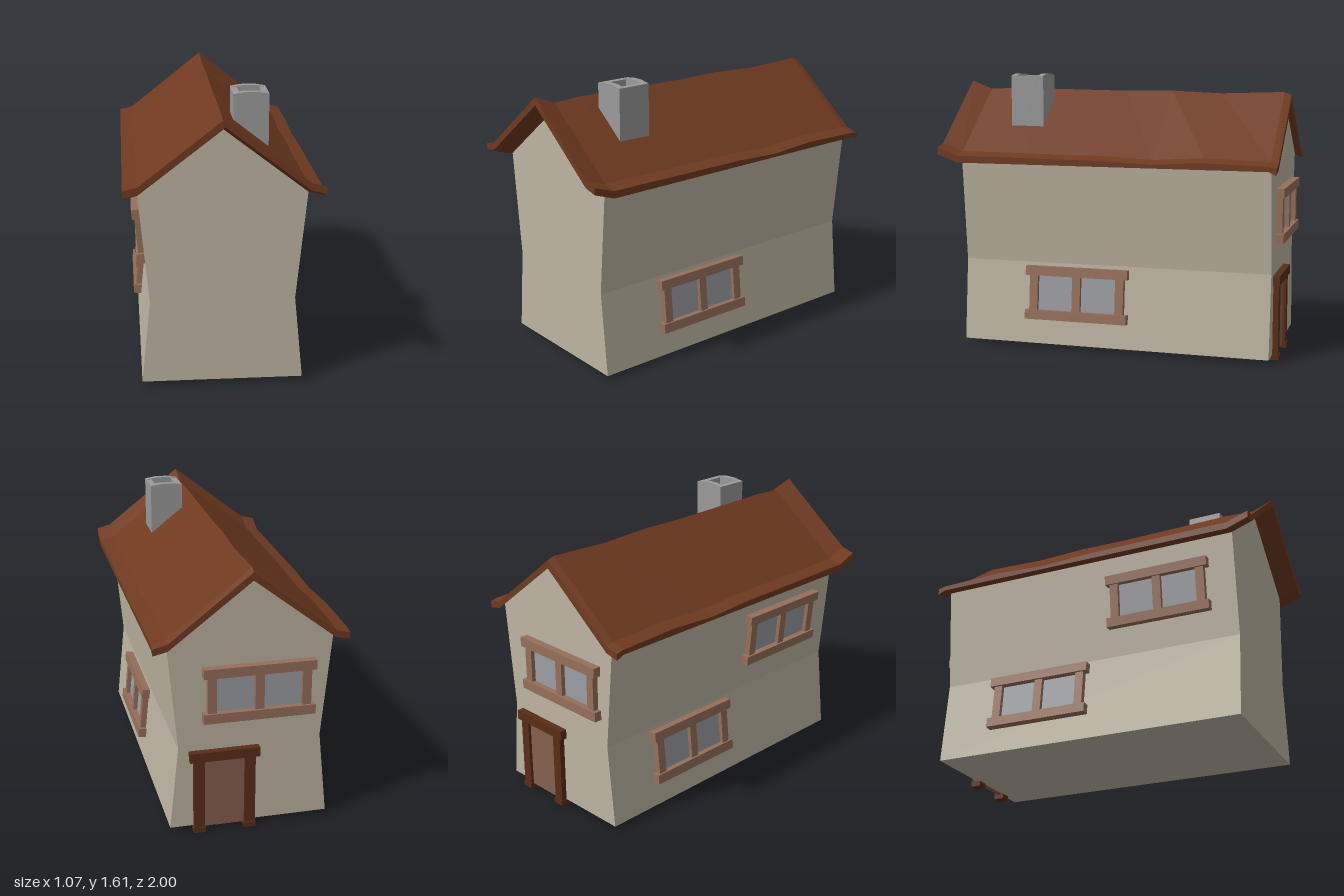
import * as THREE from 'three';

const mat = (color, opts = {}) => {
  const m = new THREE.MeshStandardMaterial({ color, ...opts });
  m.flatShading = true;
  return m;
};
const wallMat = mat(0xbdb5a2);
const roofMat = mat(0x6f3a20);
const stoneMat = mat(0x9a9a9a);
const frameMat = mat(0x96705a);
const glassMat = mat(0x9a9da2);
const doorFrameMat = mat(0x5a2d17);
const doorMat = mat(0x85604e);

function add(parent, name, geometry, material, x = 0, y = 0, z = 0) {
  const mesh = new THREE.Mesh(geometry, material);
  mesh.name = name;
  mesh.position.set(x, y, z);
  parent.add(mesh);
  return mesh;
}
const box = (parent, name, size, material, x, y, z) =>
  add(parent, name, new THREE.BoxGeometry(...size), material, x, y, z);

// Extrude a closed outline from z0 towards +z
function extrude(points, z0, depth) {
  const shape = new THREE.Shape(points.map(([x, y]) => new THREE.Vector2(x, y)));
  return new THREE.ExtrudeGeometry(shape, { depth, bevelEnabled: false }).translate(0, 0, z0);
}

// Roof slab: a bent cross-section lofted from front to back with a slight sag
function roofGeometry() {
  // z, ridge offset, eave offset, underside offset
  const rows = [
    [1, 0.05, 0.045, 0.045], [0.875, 0, 0, 0], [0.7, 0.008, 0, 0], [0.45, 0.004, -0.003, 0],
    [0, -0.003, -0.006, 0], [-0.28, 0.001, -0.02, 0], [-0.58, -0.012, -0.002, 0],
    [-0.95, 0, -0.012, 0], [-0.993, -0.015, -0.022, -0.02],
  ];
  const xs = [0.535, 0.455, 0, -0.455, -0.535];
  const top = [1.14, 1.16, 1.51, 1.16, 1.14];
  const under = [1.1, 1.118, 1.47, 1.118, 1.1];
  const pos = [], idx = [], n = 10;
  for (const [z, ridge, eave, low] of rows) {
    xs.forEach((x, k) => pos.push(x, top[k] + (k === 2 ? ridge : eave), z));
    for (let k = 4; k >= 0; k--) pos.push(xs[k], under[k] + low, z);
  }
  for (let i = 0; i < rows.length - 1; i++) {
    for (let j = 0; j < n; j++) {
      const a = i * n + j, b = i * n + (j + 1) % n;
      idx.push(a, a + n, b, b, a + n, b + n);
    }
  }
  // End caps
  const last = (rows.length - 1) * n;
  for (let k = 0; k < 4; k++) {
    const [a, b, c, d] = [k, k + 1, 8 - k, 9 - k];
    idx.push(a, b, c, a, c, d);
    idx.push(last + a, last + c, last + b, last + a, last + d, last + c);
  }
  const g = new THREE.BufferGeometry();
  g.setAttribute('position', new THREE.Float32BufferAttribute(pos, 3));
  g.setIndex(idx);
  g.computeVertexNormals();
  return g;
}

// Two-pane window; local z points out of the wall
function makeWindow(name, x, y, z, turn, tilt) {
  const g = new THREE.Group();
  g.name = name;
  box(g, 'glass', [0.54, 0.22, 0.016], glassMat, 0, 0, 0.002);
  for (const s of [-1, 1]) box(g, 'windowRail', [0.62, 0.055, 0.055], frameMat, 0, s * 0.13, 0.018);
  for (const s of [-1, 0, 1]) box(g, 'windowPost', [0.05, 0.21, 0.042], frameMat, s * 0.262, 0, 0.013);
  g.rotation.order = 'YXZ';
  g.rotation.set(tilt, turn, 0);
  g.position.set(x, y, z);
  return g;
}

function makeDoor() {
  const g = new THREE.Group();
  g.name = 'door';
  box(g, 'doorPanel', [0.24, 0.42, 0.03], doorMat, 0, 0.235, 0);
  box(g, 'doorLintel', [0.39, 0.055, 0.045], doorFrameMat, 0, 0.463, 0.018);
  for (const s of [-1, 1]) {
    box(g, 'doorPost', [0.06, 0.44, 0.04], doorFrameMat, s * 0.142, 0.22, 0.012);
    box(g, 'doorPostFoot', [0.066, 0.03, 0.06], doorFrameMat, s * 0.142, 0.015, 0.008);
  }
  g.rotation.y = Math.PI;
  g.position.set(0.145, 0, -0.955);
  return g;
}

// Hollow chimney with arched front and back rims
function makeChimney() {
  const g = new THREE.Group();
  g.name = 'chimney';
  const arch = [[-0.0975, 1.22], [0.0975, 1.22], [0.0975, 1.6], [0.035, 1.61], [-0.035, 1.61], [-0.0975, 1.6]];
  for (const z of [-0.1, 0.065]) add(g, 'chimneyArchedWall', extrude(arch, z, 0.035), stoneMat);
  for (const s of [-1, 1]) box(g, 'chimneySideWall', [0.035, 0.38, 0.13], stoneMat, s * 0.08, 1.41, 0);
  box(g, 'chimneyFloor', [0.13, 0.2, 0.13], stoneMat, 0, 1.37, 0);
  g.position.set(0.1725, 0, 0.535);
  return g;
}

export function createModel() {
  const house = new THREE.Group();
  house.name = 'house';

  // Pinched-waist walls with gable ends
  const profile = [
    [-0.447, 0.03], [0.447, 0.03], [0.398, 0.51], [0.456, 1.125],
    [0, 1.475], [-0.456, 1.125], [-0.398, 0.51],
  ];
  add(house, 'walls', extrude(profile, -0.955, 1.835), wallMat);
  add(house, 'roof', roofGeometry(), roofMat);
  house.add(makeChimney());

  // Side windows lean with the walls, the back one stands upright
  const q = Math.PI / 2;
  house.add(
    makeWindow('rightLowerWindow', 0.416, 0.333, 0.18, q, -0.1),
    makeWindow('leftLowerWindow', -0.416, 0.333, -0.33, -q, -0.1),
    makeWindow('leftUpperWindow', -0.429, 0.835, 0.42, -q, 0.094),
    makeWindow('backUpperWindow', -0.045, 0.82, -0.955, Math.PI, 0),
  );
  house.add(makeDoor());
  return house;
}
